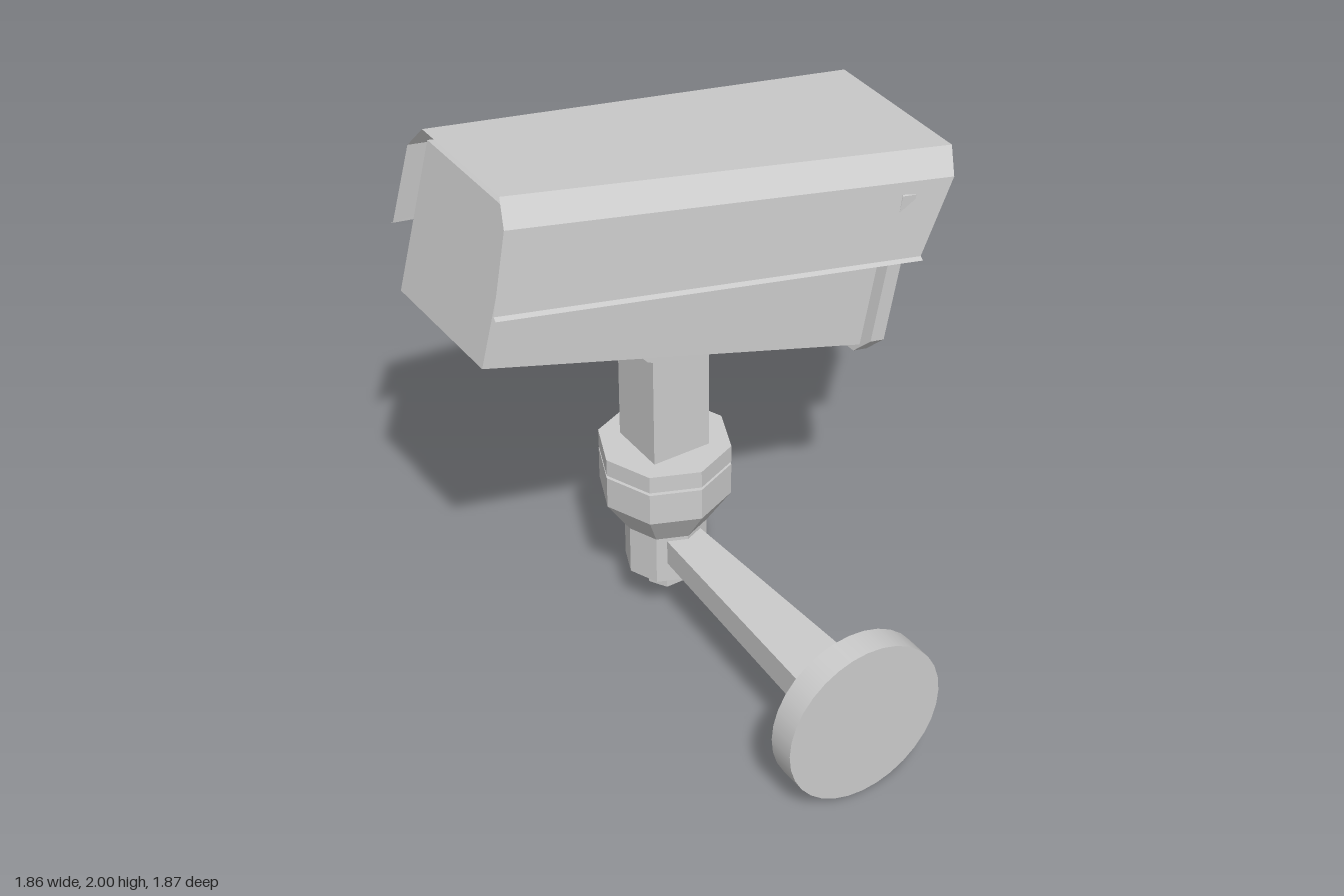
import * as THREE from 'three';
import { ConvexGeometry } from 'three/addons/geometries/ConvexGeometry.js';

const grey = new THREE.MeshStandardMaterial({ color: 0xcccccc });
const sheet = new THREE.MeshStandardMaterial({ color: 0xcccccc, side: THREE.DoubleSide });

function faceted(geometry) {
  const flat = geometry.index ? geometry.toNonIndexed() : geometry;
  flat.computeVertexNormals();
  return flat;
}

function part(name, geometry, parent, material = grey) {
  const mesh = new THREE.Mesh(geometry, material);
  mesh.name = name;
  parent.add(mesh);
  return mesh;
}

const v2 = (list) => list.map(([x, y]) => new THREE.Vector2(x, y));

// Eight-sided turned part from a [radius, height] profile
const turned = (profile) => faceted(new THREE.LatheGeometry(v2(profile), 8));

// Rectangle with chamfered corners, w and h are half sizes
function chamferedPoints(w, h, c) {
  return v2([
    [w - c, -h], [w, -h + c], [w, h - c], [w - c, h],
    [-w + c, h], [-w, h - c], [-w, -h + c], [-w + c, -h],
  ]);
}

// Open folded sheet between two half profiles of [x, y, z], mirrored in x
function foldedSheet(rear, front) {
  const full = (half) => [
    ...half.map(([x, y, z]) => [-x, y, z]),
    ...[...half].reverse(),
  ];
  const a = full(rear), b = full(front), pos = [];
  for (let i = 0; i < a.length - 1; i++) {
    pos.push(...a[i], ...a[i + 1], ...b[i + 1], ...a[i], ...b[i + 1], ...b[i]);
  }
  const geometry = new THREE.BufferGeometry();
  geometry.setAttribute('position', new THREE.Float32BufferAttribute(pos, 3));
  geometry.computeVertexNormals();
  return geometry;
}

// Inside this group the lens looks along -z and the wall lies at +x
export function createModel() {
  const model = new THREE.Group();
  model.name = 'securityCamera';
  const rig = new THREE.Group();
  rig.name = 'rig';
  rig.position.set(-0.185, 0, -0.005);
  rig.rotation.y = -0.6435;
  model.add(rig);

  // Wall plate and widening arm
  const plate = part('wallPlate', new THREE.CylinderGeometry(0.29, 0.29, 0.1, 32), rig);
  plate.rotation.z = Math.PI / 2;
  plate.position.set(1.125, 0.29, 0);
  const armPoints = [];
  for (const [x, h, w] of [[0.09, 0.047, 0.066], [1.09, 0.056, 0.115]]) {
    for (const sy of [-1, 1]) for (const sz of [-1, 1]) {
      armPoints.push(new THREE.Vector3(x, 0.304 + sy * h, sz * w));
    }
  }
  part('wallArm', new ConvexGeometry(armPoints), rig);

  // Swivel joint with collar and nut
  part('swivelJoint', turned([[0, 0.18], [0.144, 0.18], [0.144, 0.365], [0.23, 0.495], [0.23, 0.615], [0, 0.615]]), rig);
  part('collar', turned([[0, 0.626], [0.23, 0.626], [0.23, 0.69], [0, 0.69]]), rig);
  const nut = part('nut', faceted(new THREE.CylinderGeometry(0.07, 0.07, 0.1, 6)), rig);
  nut.position.y = 0.15;

  // Square post
  const post = part('post', new THREE.BoxGeometry(0.218, 0.6, 0.218), rig);
  post.position.y = 0.9;

  // Head, pitched towards the lens
  const head = new THREE.Group();
  head.name = 'head';
  head.position.x = -0.005;
  rig.add(head);

  // Rounded tilt bracket under the housing
  const bracketShape = new THREE.Shape(v2([
    [-0.217, 1.29], [-0.217, 1.255], [-0.2, 1.2], [-0.165, 1.16], [-0.09, 1.127],
    [0, 1.115], [0.09, 1.115], [0.14, 1.128], [0.168, 1.152], [0.168, 1.19],
  ]));
  const bracket = new THREE.ExtrudeGeometry(bracketShape, { depth: 0.35, bevelEnabled: false });
  bracket.rotateY(Math.PI / 2).translate(-0.175, 0, 0);
  part('tiltBracket', bracket, head);

  // Housing, growing wider towards the lens: [half width, y, z]
  const corners = [
    [0.26, 1.43, 0.808], [0.26, 1.937, 0.68],
    [0.326, 1.04, -0.572], [0.326, 1.62, -0.694],
  ];
  const housing = corners.flatMap(([x, y, z]) => [new THREE.Vector3(x, y, z), new THREE.Vector3(-x, y, z)]);
  part('housing', new ConvexGeometry(housing), head);

  // Front frame around the recessed window
  const frameShape = new THREE.Shape(chamferedPoints(0.375, 0.34, 0.073));
  frameShape.holes.push(new THREE.Path(chamferedPoints(0.307, 0.295, 0.05).reverse()));
  const frame = part('frontFrame', new THREE.ExtrudeGeometry(frameShape, { depth: 0.055, bevelEnabled: false }), head);
  frame.position.set(0, 1.328, -0.682);
  frame.rotation.x = -0.206;

  // Sun hood with a small lip along each lower edge
  part('sunHood', foldedSheet(
    [[0.334, 1.637, 0.793], [0.318, 1.645, 0.79], [0.298, 1.917, 0.73], [0.237, 1.995, 0.707]],
    [[0.407, 1.35, -0.751], [0.391, 1.358, -0.753], [0.378, 1.61, -0.885], [0.301, 1.677, -0.93]],
  ), head, sheet);

  return model;
}
